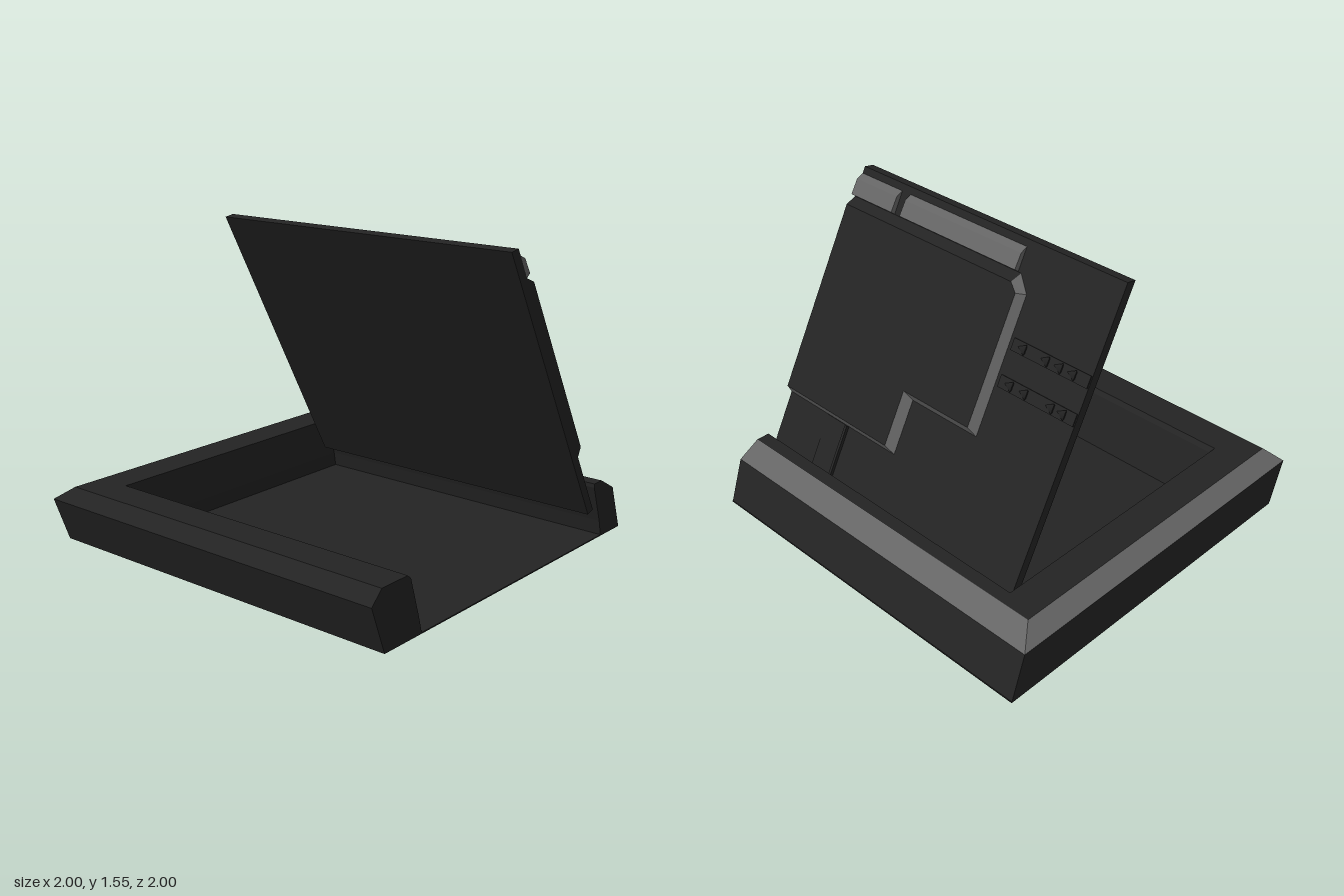
import * as THREE from 'three';

const dark = new THREE.MeshStandardMaterial({ color: 0x232323 });
dark.name = 'charcoal';
const grey = new THREE.MeshStandardMaterial({ color: 0x646464 });
grey.name = 'grey edge';

// Flat-shaded mesh from a list of polygons, each drawn as a fan from its first corner
function facets(name, polygons, material) {
  const pos = [];
  for (const p of polygons) {
    for (let i = 1; i < p.length - 1; i++) pos.push(...p[0], ...p[i], ...p[i + 1]);
  }
  const geo = new THREE.BufferGeometry();
  geo.setAttribute('position', new THREE.Float32BufferAttribute(pos, 3));
  geo.computeVertexNormals();
  const mesh = new THREE.Mesh(geo, material);
  mesh.name = name;
  return mesh;
}

// Lid part: profile of [height off the panel front, distance up the panel], swept from x0 to x1
function sweep(name, profile, x0, x1, material) {
  const shape = new THREE.Shape(profile.map(([n, v]) => new THREE.Vector2(n, v)));
  const geo = new THREE.ExtrudeGeometry(shape, { depth: x1 - x0, bevelEnabled: false });
  const mesh = new THREE.Mesh(geo, material);
  mesh.name = name;
  mesh.rotation.y = Math.PI / 2;
  mesh.position.x = x0;
  return mesh;
}

function box(name, x0, x1, v0, v1, n0, n1) {
  const mesh = new THREE.Mesh(new THREE.BoxGeometry(x1 - x0, v1 - v0, n1 - n0), dark);
  mesh.name = name;
  mesh.position.set((x0 + x1) / 2, (v0 + v1) / 2, -(n0 + n1) / 2);
  return mesh;
}

function createTray() {
  const tray = new THREE.Group();
  tray.name = 'tray';
  // Rim section, outside to inside: left x, front z, back z, height
  const section = [
    [-1, 0.914, -1, 0],
    [-1, 1, -0.92, 0.23],
    [-0.91, 0.936, -0.805, 0.295],
    [-0.735, 0.765, -0.735, 0.295],
    [-0.735, 0.743, -0.735, 0.275],
    [-0.735, 0.685, -0.8, 0.085],
    [-0.74, 0.663, -0.82, 0],
  ];
  // Each section point runs along the front, left and back, leaving the right side open
  const rows = section.map(([x, f, b, y]) => [[1, y, f], [x, y, f], [x, y, b], [1, y, b]]);
  const plain = [], bevel = [];
  for (let j = 0; j < rows.length - 1; j++) {
    for (let i = 0; i < 3; i++) {
      const quad = [rows[j][i], rows[j + 1][i], rows[j + 1][i + 1], rows[j][i + 1]];
      (j === 1 && i > 0 ? bevel : plain).push(quad);
    }
  }
  // Cut ends of the front and back rails
  plain.push([rows[0][0], ...rows.slice(1).reverse().map((r) => r[0])]);
  plain.push(rows.map((r) => r[3]));
  tray.add(facets('rim', plain, dark), facets('rimBevel', bevel, grey));

  const floor = new THREE.Mesh(new THREE.BoxGeometry(2, 0.006, 1.914), dark);
  floor.name = 'floor';
  floor.position.set(0, 0.003, -0.043);
  tray.add(floor);
  return tray;
}

function createLid() {
  const lid = new THREE.Group();
  lid.name = 'lid';
  lid.position.set(0, 0.15, -0.685);
  lid.rotation.x = 0.497;
  lid.add(sweep('panel', [[0, 0], [0.047, -0.008], [0.05, 1.565], [0, 1.582]], -0.705, 1, dark));

  // Raised housing with bevelled sides and one stepped corner
  const outer = [[1, 0.345], [0.21, 0.345], [0.21, 0.63], [-0.22, 0.63],
    [-0.22, 1.33], [-0.15, 1.41], [1, 1.41]].map(([x, v]) => [x, v, -0.048]);
  const inner = [[1, 0.374], [0.25, 0.374], [0.25, 0.66], [-0.185, 0.66],
    [-0.185, 1.32], [-0.14, 1.36], [1, 1.36]].map(([x, v]) => [x, v, -0.089]);
  const plain = [[...inner.slice(2), ...inner.slice(0, 2)]], bevel = [];
  outer.forEach((p, i) => {
    const k = (i + 1) % outer.length;
    (i < 5 ? bevel : plain).push([p, outer[k], inner[k], inner[i]]);
  });
  lid.add(facets('housing', plain, dark), facets('housingBevel', bevel, grey));

  // Ridge above the housing, broken by a gap
  const ridge = [[0.045, 1.408], [0.079, 1.414], [0.075, 1.496], [0.045, 1.536]];
  for (const [x0, x1] of [[-0.13, 0.645], [0.705, 1]]) {
    lid.add(sweep('topRidge', ridge, x0, x1, grey));
  }

  // Toothed guide rails beside the housing
  for (const [v, teeth] of [[0.92, [-0.62, -0.55, -0.39, -0.3]], [1.1, [-0.6, -0.52, -0.44, -0.3]]]) {
    lid.add(box('guideRail', -0.7, -0.24, v - 0.03, v + 0.03, 0.045, 0.055));
    for (const x of teeth) {
      const tooth = new THREE.Mesh(new THREE.ConeGeometry(0.03, 0.05, 3), dark);
      tooth.name = 'guideTooth';
      tooth.rotation.z = -Math.PI / 2;
      tooth.scale.z = 0.5;
      tooth.position.set(x, v, -0.055);
      lid.add(tooth);
    }
  }

  // Latch pad near the hinge edge
  lid.add(box('latchPad', 0.56, 0.7, 0.03, 0.345, 0.045, 0.053));
  lid.add(box('latchRib', 0.545, 0.56, 0.03, 0.345, 0.045, 0.065));
  return lid;
}

export function createModel() {
  const model = new THREE.Group();
  model.name = 'openTrayWithLid';
  model.add(createTray(), createLid());
  return model;
}
